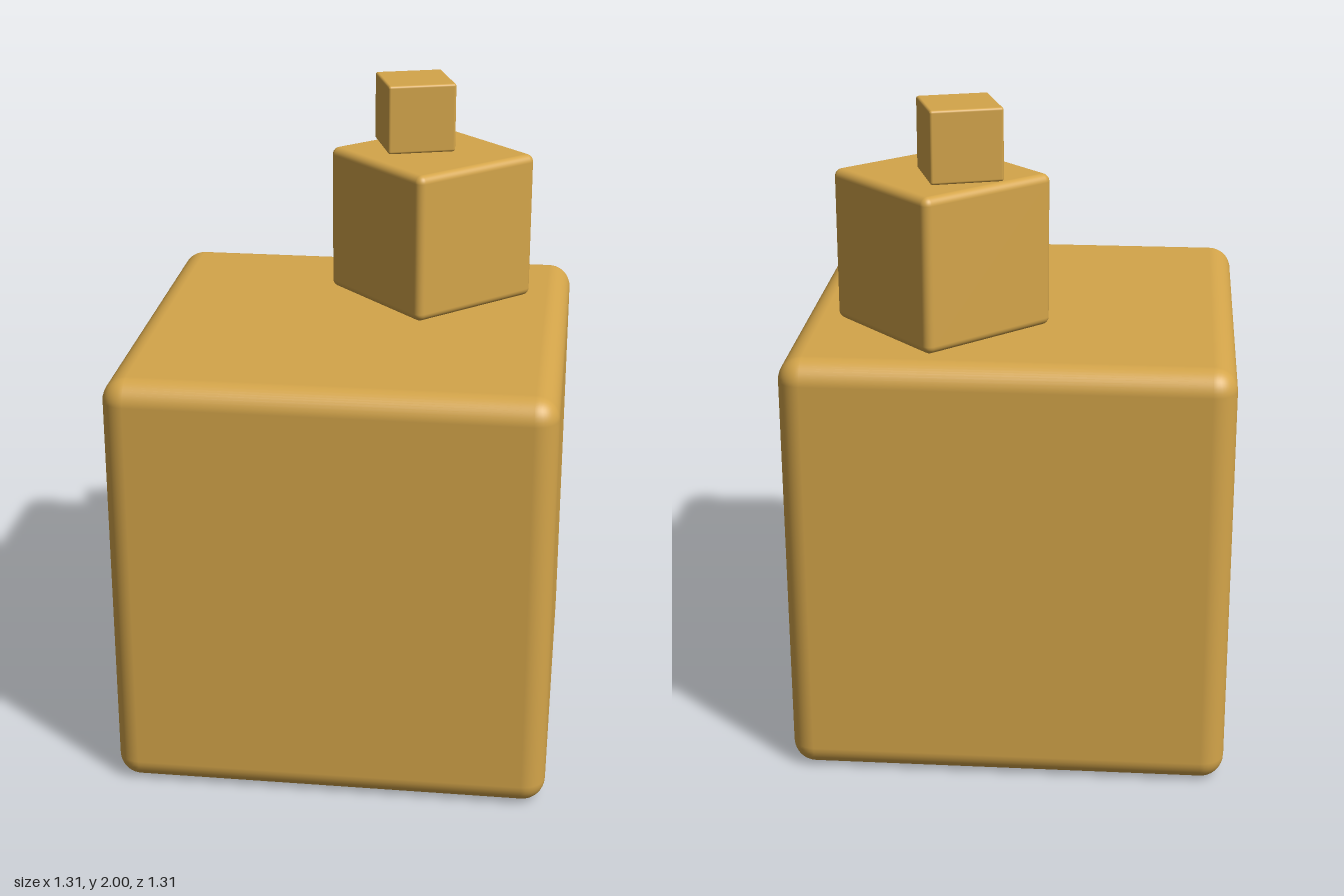
import * as THREE from 'three';
import { RoundedBoxGeometry } from 'three/addons/geometries/RoundedBoxGeometry.js';

export function createModel() {
  const group = new THREE.Group();
  const ochre = new THREE.MeshStandardMaterial({ color: 0xd4a54a });
  ochre.name = 'ochre';

  // Softly rounded cube, placed by the height of its underside and turned about y
  function addCube(name, size, radius, x, bottom, z, degrees) {
    const mesh = new THREE.Mesh(new RoundedBoxGeometry(size, size, size, 5, radius), ochre);
    mesh.name = name;
    mesh.position.set(x, bottom + size / 2, z);
    mesh.rotation.y = THREE.MathUtils.degToRad(degrees);
    group.add(mesh);
  }

  // Stack of three cubes, each smaller and twisted on the one below
  addCube('largeCube', 1.314, 0.07, 0, 0, 0, 0);
  addCube('middleCube', 0.46, 0.024, 0.215, 1.323, -0.265, 43.5);
  addCube('smallCube', 0.214, 0.008, 0.155, 1.786, -0.317, 17.5);

  return group;
}
